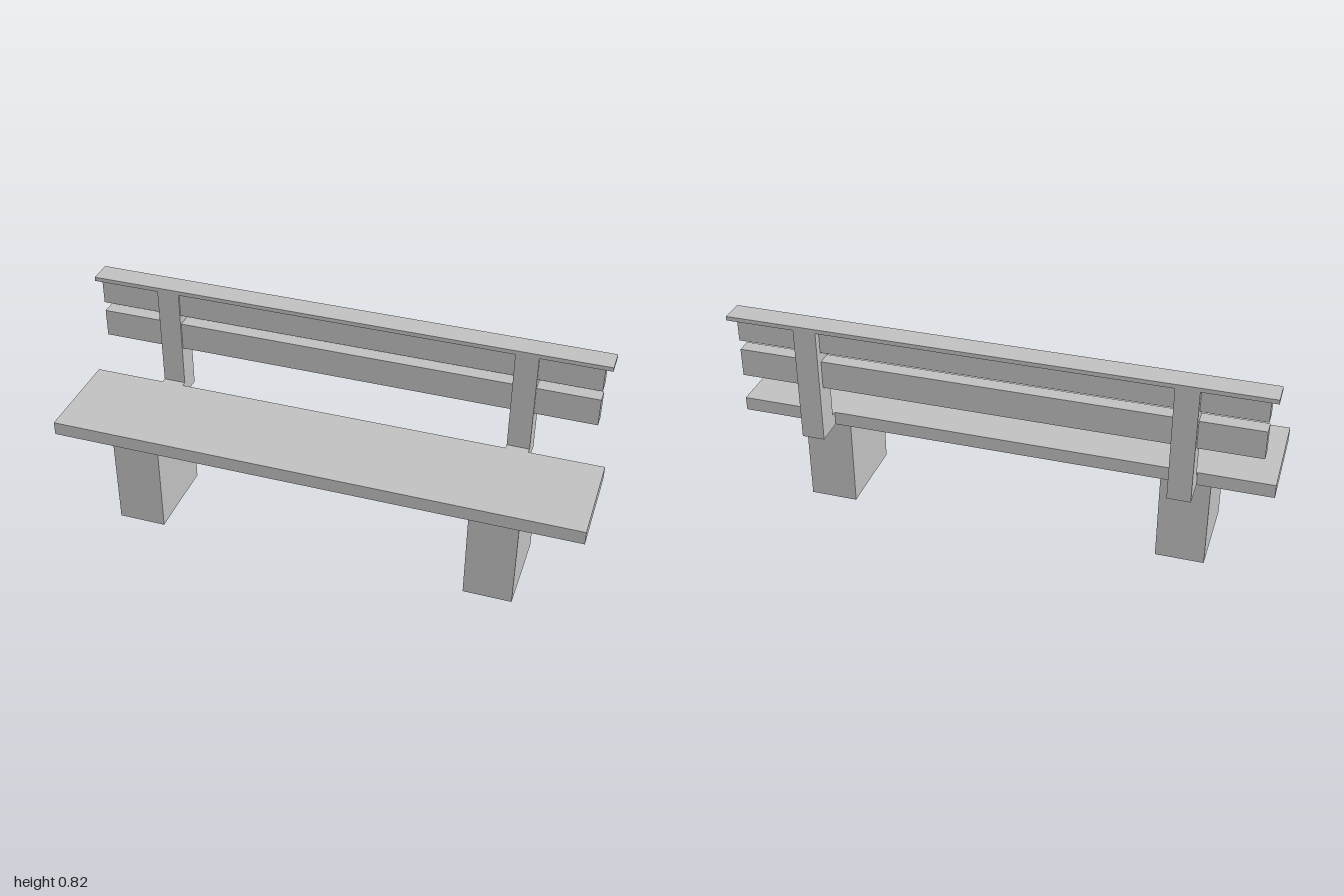
import * as THREE from 'three';

export function createModel() {
  const bench = new THREE.Group();
  bench.name = 'bench';
  const grey = new THREE.MeshStandardMaterial({ color: 0xc0c0c0 });
  grey.name = 'grey';

  const add = (name, geometry) => {
    const mesh = new THREE.Mesh(geometry, grey);
    mesh.name = name;
    bench.add(mesh);
    return mesh;
  };
  // Box given by its centre and width in x, and its limits in y and z
  const block = (name, x, width, y0, y1, z0, z1) =>
    add(name, new THREE.BoxGeometry(width, y1 - y0, z1 - z0))
      .position.set(x, (y0 + y1) / 2, (z0 + z1) / 2);

  const centre = -0.0025; // legs and backrest sit slightly off the seat's middle
  const seatBottom = 0.358, seatTop = 0.41, capBottom = 0.802;

  block('seat', 0, 2, seatBottom, seatTop, -0.135, 0.247);

  // Side profile of a post: upright with a foot reaching the seat's back edge
  const profile = new THREE.Shape([
    [0.135, seatBottom], [0.245, seatBottom], [0.245, capBottom],
    [0.155, capBottom], [0.155, seatTop], [0.135, seatTop],
  ].map(([x, y]) => new THREE.Vector2(x, y)));
  const postWidth = 0.085;
  const postGeometry = new THREE.ExtrudeGeometry(profile, { depth: postWidth, bevelEnabled: false });
  postGeometry.translate(0, 0, -postWidth / 2).rotateY(Math.PI / 2);

  for (const [side, sign] of [['left', 1], ['right', -1]]) {
    const x = centre + sign * 0.6815;
    block(side + 'Leg', x, 0.181, 0, seatBottom, -0.108, 0.22);
    add(side + 'Post', postGeometry).position.x = x;
  }

  // Backrest slats running through the posts, and the cap on top
  block('lowerSlat', centre, 1.909, 0.565, 0.673, -0.217, -0.162);
  block('upperSlat', centre, 1.909, 0.71, capBottom, -0.217, -0.162);
  block('topCap', centre, 1.963, capBottom, 0.818, -0.245, -0.155);

  return bench;
}
